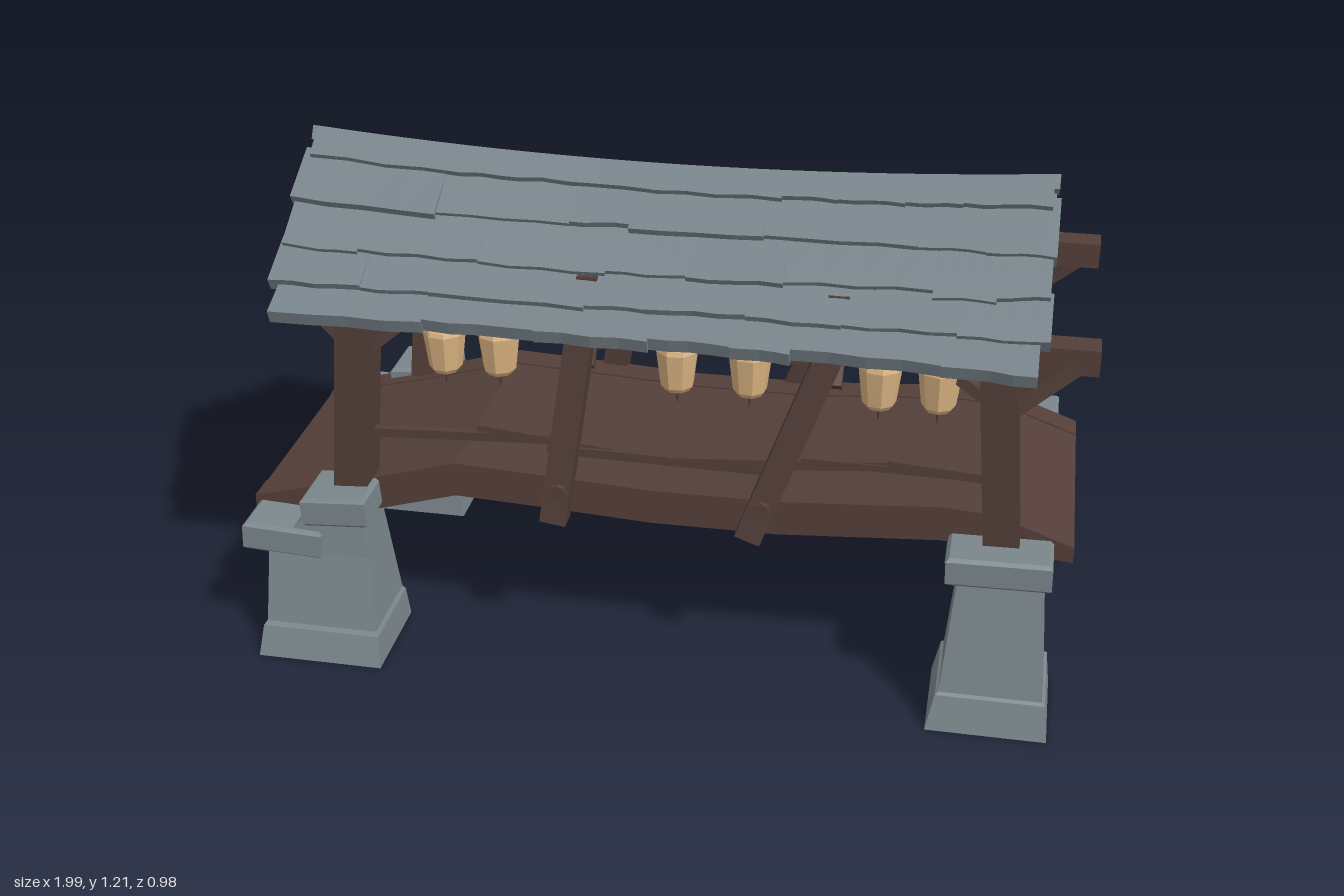
import * as THREE from 'three';

const mat = (name, color) => Object.assign(new THREE.MeshStandardMaterial({ color, flatShading: true }), { name });

export function createModel() {
  const root = new THREE.Group();
  root.name = 'coveredBridge';
  const stone = mat('stone', 0x7b878c), slate = mat('slate', 0x77838a);
  const wood = mat('wood', 0x543f39), paper = mat('lanternPaper', 0xdcb482);

  let seed = 7;
  const rnd = () => ((seed = (seed * 16807) % 2147483647) / 2147483647);
  const jit = (a) => (rnd() * 2 - 1) * a;

  const add = (name, geo, material, parent = root) => {
    const m = new THREE.Mesh(geo, material);
    m.name = name;
    parent.add(m);
    return m;
  };

  // Squared timber from a to b; w is measured in the vertical plane, t across it
  const beam = (name, a, b, w, t) => {
    const A = new THREE.Vector3(...a), B = new THREE.Vector3(...b);
    const d = B.clone().sub(A), len = d.length();
    d.normalize();
    const hint = Math.abs(d.z) > 0.5 ? new THREE.Vector3(1, 0, 0) : new THREE.Vector3(0, 0, 1);
    const y = hint.cross(d).normalize(), z = d.clone().cross(y);
    const m = add(name, new THREE.BoxGeometry(len, w, t), wood);
    m.quaternion.setFromRotationMatrix(new THREE.Matrix4().makeBasis(d, y, z));
    m.position.copy(A).add(B).multiplyScalar(0.5);
  };

  // Loft through rectangles [x0, x1, z0, z1, y], capped at both ends
  const loft = (rings) => {
    const p = [];
    const R = rings.map(([x0, x1, z0, z1, y]) => [[x0, y, z1], [x1, y, z1], [x1, y, z0], [x0, y, z0]]);
    const quad = (a, b, c, d) => p.push(...a, ...b, ...c, ...a, ...c, ...d);
    for (let k = 0; k < R.length - 1; k++)
      for (let i = 0; i < 4; i++) {
        const j = (i + 1) % 4;
        quad(R[k][i], R[k][j], R[k + 1][j], R[k + 1][i]);
      }
    const f = R[0], l = R[R.length - 1];
    quad(f[3], f[2], f[1], f[0]);
    quad(l[0], l[1], l[2], l[3]);
    const g = new THREE.BufferGeometry();
    g.setAttribute('position', new THREE.Float32BufferAttribute(p, 3));
    g.computeVertexNormals();
    return g;
  };

  // Stone block with chamfered top and bottom
  const block = (name, x0, x1, y0, y1, z0, z1, tilt = 0) => {
    const cx = (x0 + x1) / 2, cy = (y0 + y1) / 2, b = 0.008;
    const r = (e, y) => [x0 - cx + e, x1 - cx - e, z0 + e, z1 - e, y - cy];
    const m = add(name, loft([r(b, y0), r(0, y0 + b), r(0, y1 - b), r(b, y1)]), stone);
    m.position.set(cx, cy, 0);
    m.rotation.z = tilt;
  };

  // Pillars, hollow underneath
  const rightRings = [[0.74, 0.9, 0.3, 0.43, 0.08], [0.705, 0.935, 0.265, 0.465, 0], [0.68, 0.96, 0.24, 0.49, 0],
    [0.698, 0.95, 0.246, 0.468, 0.085], [0.705, 0.943, 0.25, 0.46, 0.09], [0.728, 0.924, 0.28, 0.412, 0.36]];
  const leftRings = [[-0.88, -0.71, 0.3, 0.43, 0.08], [-0.925, -0.665, 0.265, 0.465, 0], [-0.95, -0.64, 0.24, 0.49, 0],
    [-0.94, -0.648, 0.246, 0.468, 0.075], [-0.932, -0.655, 0.25, 0.46, 0.085],
    [-0.925, -0.672, 0.272, 0.422, 0.27], [-0.83, -0.682, 0.28, 0.412, 0.36]];
  for (const s of [1, -1]) {
    const side = (r) => r.map(([a, b, c, d, y]) => (s > 0 ? [a, b, c, d, y] : [a, b, -d, -c, y]));
    const zr = (a, b) => (s > 0 ? [a, b] : [-b, -a]);
    add('pillar', loft(side(rightRings)), stone);
    add('pillar', loft(side(leftRings)), stone);
    block('pillarCap', 0.7, 0.94, 0.36, 0.432, ...zr(0.272, 0.428), 0.02);
    block('pillarCap', -0.832, -0.67, 0.35, 0.425, ...zr(0.275, 0.428), 0.07);
    block('lowerPillarCap', -0.988, -0.79, 0.258, 0.332, ...zr(0.272, 0.428), -0.05);
  }
  block('crossStone', 0.74, 0.91, 0.33, 0.425, -0.3, 0.3);
  block('crossStone', -0.97, -0.77, 0.25, 0.33, -0.3, 0.3);

  // Bowed deck and its side stringers, cut from the same curve
  const top = [[-0.995, 0.345], [-0.69, 0.425], [-0.48, 0.487], [-0.22, 0.475], [0, 0.463], [0.3, 0.465], [0.68, 0.492], [0.8, 0.485], [0.985, 0.417]];
  const band = (thick, lift, z0, z1) => {
    const up = top.map(([x, y]) => new THREE.Vector2(x, y + lift));
    const low = top.map(([x, y]) => new THREE.Vector2(x, y + lift - (Math.abs(x) > 0.9 ? 0.04 : thick))).reverse();
    return new THREE.ExtrudeGeometry(new THREE.Shape([...up, ...low]), { depth: z1 - z0, bevelEnabled: false }).translate(0, 0, z0);
  };
  add('deck', band(0.078, 0, -0.25, 0.25), wood);
  add('stringer', band(0.088, 0.004, 0.24, 0.312), wood);
  add('stringer', band(0.088, 0.004, -0.312, -0.24), wood);

  // Posts, plates, braces and rails on each side
  for (const s of [1, -1]) {
    const Z = (z) => z * s;
    beam('cornerPost', [-0.73, 0.41, Z(0.308)], [-0.685, 0.92, Z(0.32)], 0.083, 0.094);
    beam('cornerPost', [0.822, 0.41, Z(0.308)], [0.78, 0.92, Z(0.32)], 0.083, 0.094);
    beam('leaningPost', [-0.232, 0.375, Z(0.33)], [-0.155, 0.92, Z(0.3)], 0.063, 0.055);
    beam('leaningPost', [0.235, 0.38, Z(0.33)], [0.43, 0.92, Z(0.3)], 0.063, 0.055);
    for (const [x, y] of [[-0.215, 0.465], [0.268, 0.47]]) {
      const peg = add('peg', new THREE.CylinderGeometry(0.02, 0.02, 0.03, 8), wood);
      peg.rotation.x = Math.PI / 2;
      peg.position.set(x, y, Z(0.35));
    }
    beam('wallPlate', [-0.83, 0.895, Z(0.297)], [0.998, 0.9, Z(0.297)], 0.062, 0.066);
    beam('outerBrace', [0.81, 0.765, Z(0.315)], [0.95, 0.885, Z(0.3)], 0.035, 0.06);
    beam('outerBrace', [-0.71, 0.79, Z(0.31)], [-0.81, 0.885, Z(0.3)], 0.03, 0.045);
    beam('innerBrace', [-0.69, 0.765, Z(0.31)], [-0.54, 0.89, Z(0.3)], 0.025, 0.04);
    beam('innerBrace', [0.78, 0.775, Z(0.31)], [0.61, 0.89, Z(0.3)], 0.025, 0.04);
    const rails = [[-0.71, 0.553, -0.19, 0.575], [-0.42, 0.592, -0.1, 0.555], [-0.25, 0.552, 0.32, 0.54],
      [0.04, 0.55, 0.4, 0.572], [0.28, 0.562, 0.62, 0.588], [0.35, 0.582, 0.81, 0.572], [0.55, 0.592, 0.82, 0.568]];
    rails.forEach(([x0, y0, x1, y1], i) => beam('rail', [x0, y0, Z(0.3)], [x1, y1, Z(0.29)], i % 2 ? 0.016 : 0.022, 0.02));
  }

  // Roof frame: trusses, rafters and ridge
  for (const x of [-0.7, -0.155, 0.42, 0.8]) {
    beam('tieBeam', [x, 0.96, -0.27], [x, 0.96, 0.27], 0.05, 0.048);
    beam('kingPost', [x, 0.935, 0], [x, 1.12, 0], 0.05, 0.06);
    for (const s of [1, -1]) {
      beam('strut', [x, 0.98, 0.02 * s], [x, 1.035, 0.12 * s], 0.03, 0.03);
      beam('kneeBrace', [x, 0.765, 0.28 * s], [x, 0.945, 0.1 * s], 0.024, 0.03);
    }
  }
  for (let i = 0; i < 17; i++)
    for (const s of [1, -1]) {
      const x = -0.82 + i * 0.1025, sag = 0.022 * (1 - (x / 0.88) ** 2);
      beam('rafter', [x, 0.878 - sag * 0.4, 0.345 * s], [x, 1.108 - sag, 0], 0.04, 0.045);
    }
  beam('ridgeBeam', [-0.84, 1.095, 0], [0.84, 1.095, 0], 0.045, 0.05);

  // Overlapping slate courses, sagging towards the middle: [z0, y0, z1, y1] down the slope
  const courses = [[0.32, 0.953, 0.433, 0.912], [0.235, 1.017, 0.355, 0.953], [0.14, 1.092, 0.265, 1.015],
    [0.04, 1.165, 0.17, 1.09], [0, 1.207, 0.072, 1.162]];
  for (const s of [1, -1]) {
    const half = new THREE.Group();
    half.name = s > 0 ? 'frontRoof' : 'backRoof';
    root.add(half);
    courses.forEach(([z0, y0, z1, y1], c) => {
      const L = Math.hypot(z1 - z0, y1 - y0), uz = (z1 - z0) / L, uy = (y1 - y0) / L;
      const end = 0.878 + jit(0.012);
      let x = -end;
      while (x < end - 0.01) {
        let w = 0.12 + rnd() * 0.26;
        if (x + w > end - 0.08) w = end - x;
        const drop = c === 4 ? jit(0.003) : jit(0.01), lift = c === 4 ? 0 : jit(0.005), skew = jit(0.008);
        const g = new THREE.BoxGeometry(w, 0.034, L, 4, 1, 1), p = g.attributes.position;
        for (let i = 0; i < p.count; i++) {
          const px = x + w / 2 + p.getX(i), lower = p.getZ(i) > 0;
          const u = lower ? L + drop + skew * p.getX(i) / w + 0.003 * Math.sin(px * 40 + c) : 0;
          const n = p.getY(i) - 0.017 + (lower ? lift : 0);
          const sag = 1 - Math.min(1, (px / 0.88) ** 2);
          const z = z0 + uz * u - uy * n, y = y0 + uy * u + uz * n;
          p.setXYZ(i, px, y - sag * (0.038 * (1 - z / 0.45)), z * (1 - 0.05 * sag));
        }
        if (s < 0) g.rotateY(Math.PI);
        g.computeVertexNormals();
        add('slate', g, slate, half);
        x += w;
      }
    });
  }

  // Hanging lanterns
  const body = new THREE.LatheGeometry([[0, -0.112], [0.03, -0.112], [0.039, -0.1], [0.046, -0.045], [0.05, -0.012],
    [0.046, -0.001], [0, 0.002]].map(([r, y]) => new THREE.Vector2(r, y)), 8);
  const lantern = (x, y, z, cord) => {
    const g = new THREE.Group();
    g.name = 'lantern';
    g.position.set(x, y, z);
    g.rotation.y = rnd();
    root.add(g);
    add('lanternBody', body, paper, g);
    add('lanternCord', new THREE.CylinderGeometry(0.006, 0.006, cord, 5), wood, g).position.y = cord / 2;
    add('lanternTassel', new THREE.CylinderGeometry(0.005, 0.003, 0.036, 5), wood, g).position.y = -0.128;
  };
  for (const x of [-0.49, -0.36, 0.06, 0.228, 0.522, 0.655])
    for (const s of [1, -1]) lantern(x, 0.85 + jit(0.004), 0.297 * s, 0.04);
  lantern(0.82, 0.932, 0, 0.02);
  lantern(-0.765, 0.932, 0, 0.1);

  return root;
}
